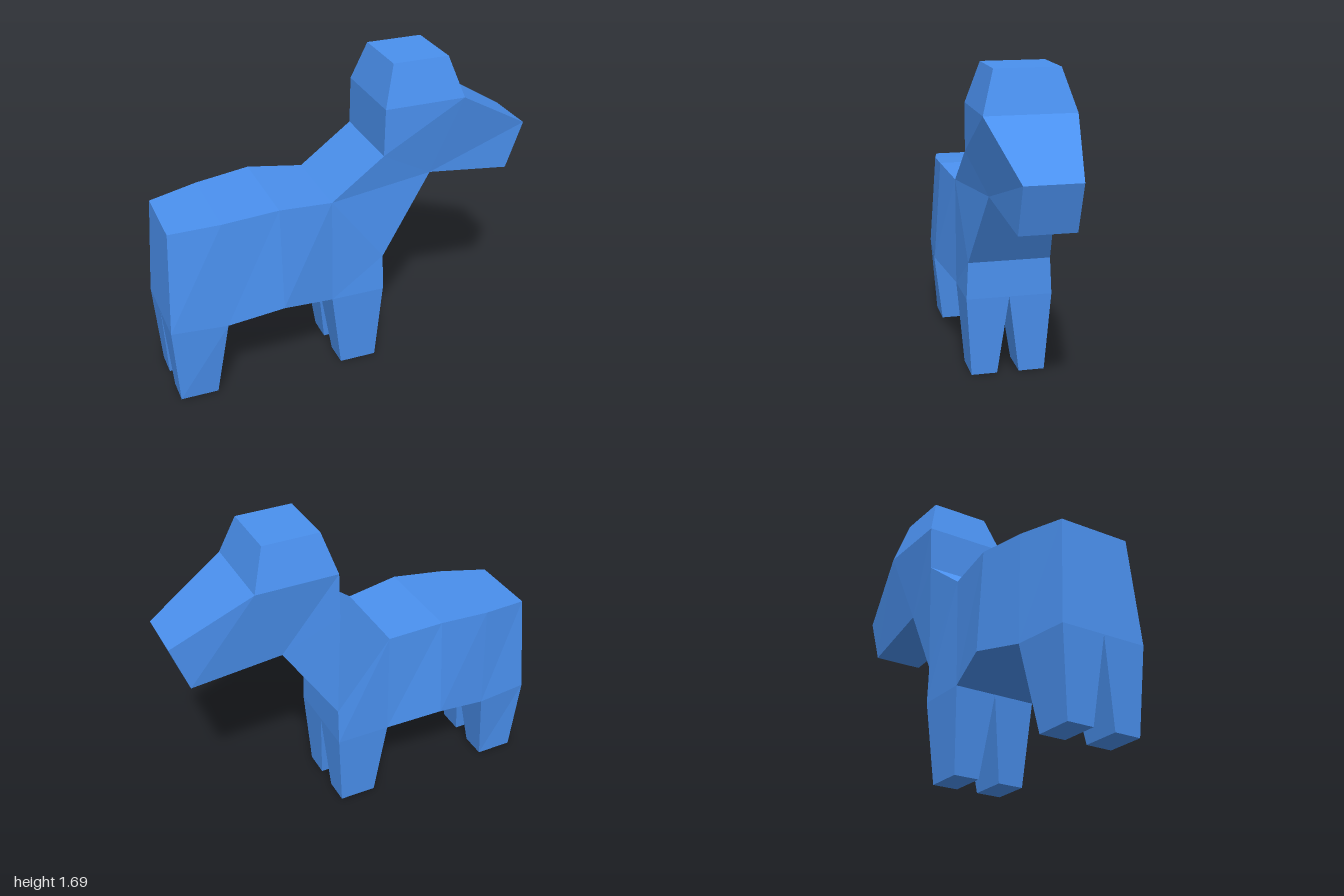
import * as THREE from 'three';

const material = new THREE.MeshStandardMaterial({ color: 0x4a90ee, flatShading: true });

// Control points of the +z half: [x, y, half width]
const P = {
  rump: [-0.97, 0.99, 0.19], hip: [-1, 0.44, 0.23],
  loin: [-0.71, 1.02, 0.24], flank: [-0.71, 0.44, 0.26],
  back: [-0.42, 1.05, 0.26], belly: [-0.42, 0.5, 0.3],
  withers: [-0.13, 1.02, 0.23], elbow: [-0.13, 0.44, 0.23],
  chest: [0.16, 0.64, 0.22], brisket: [0.16, 0.44, 0.23],
  throat: [0.44, 1.06, 0.17], nape: [0.15, 1.23, 0.23],
  brow: [0.59, 1.48, 0.23], poll: [0.155, 1.48, 0.23],
  chin: [0.91, 0.99, 0.14], nose: [1, 1.24, 0.14],
  crownFront: [0.52, 1.69, 0.165], crownBack: [0.22, 1.69, 0.165],
};

const mirror = ([x, y, z]) => [x, y, -z];

// Flat shaded mesh from convex, counter-clockwise polygons
function polyMesh(name, polygons) {
  const positions = [];
  for (const p of polygons) {
    for (let i = 1; i < p.length - 1; i++) positions.push(...p[0], ...p[i], ...p[i + 1]);
  }
  const geometry = new THREE.BufferGeometry();
  geometry.setAttribute('position', new THREE.Float32BufferAttribute(positions, 3));
  geometry.computeVertexNormals();
  const mesh = new THREE.Mesh(geometry, material);
  mesh.name = name;
  return mesh;
}

// Mirrored side panels joined across the middle by strips along the outline
function symmetricPart(name, panels, strips) {
  const polygons = [];
  for (const panel of panels) {
    const side = panel.split(' ').map((k) => P[k]);
    polygons.push(side, side.map(mirror).reverse());
  }
  for (const strip of strips) {
    const line = strip.split(' ').map((k) => P[k]);
    for (let i = 0; i < line.length - 1; i++) {
      const a = line[i], b = line[i + 1];
      polygons.push([a, mirror(a), mirror(b), b]);
    }
  }
  return polyMesh(name, polygons);
}

// Tapered leg, open at the top where it joins the body
function leg(name, rear, front, footRear, footFront, side) {
  const ring = (r, f, y, inner, outerR, outerF) => [
    [r, y, outerR], [f, y, outerF], [f, y, inner], [r, y, inner],
  ];
  const top = ring(rear[0], front[0], rear[1], 0, rear[2], front[2]);
  const foot = ring(footRear, footFront, 0, 0.06, 0.2, 0.2);
  const polygons = [[...foot].reverse()];
  for (let i = 0; i < 4; i++) {
    const j = (i + 1) % 4;
    polygons.push([foot[i], foot[j], top[j], top[i]]);
  }
  return polyMesh(name, side > 0 ? polygons : polygons.map((p) => p.map(mirror).reverse()));
}

export function createModel() {
  const group = new THREE.Group();
  group.name = 'animal';

  group.add(
    symmetricPart('body',
      ['hip flank loin rump', 'flank belly back loin', 'belly elbow withers back', 'elbow brisket chest withers'],
      ['withers back loin rump hip', 'flank belly elbow', 'brisket chest']),
    symmetricPart('neck', ['withers chest throat nape'], ['chest throat', 'nape withers']),
    symmetricPart('head', ['nape throat brow poll'], ['poll nape']),
    symmetricPart('muzzle', ['throat chin nose brow'], ['throat chin nose brow']),
    symmetricPart('crown', ['poll brow crownFront crownBack'], ['brow crownFront crownBack poll']),
  );

  // Two pairs of legs
  for (const side of [1, -1]) {
    const label = side > 0 ? 'Near' : 'Far';
    group.add(
      leg(`hindLeg${label}`, P.hip, P.flank, -0.97, -0.77, side),
      leg(`foreLeg${label}`, P.elbow, P.brisket, -0.07, 0.13, side),
    );
  }
  return group;
}
